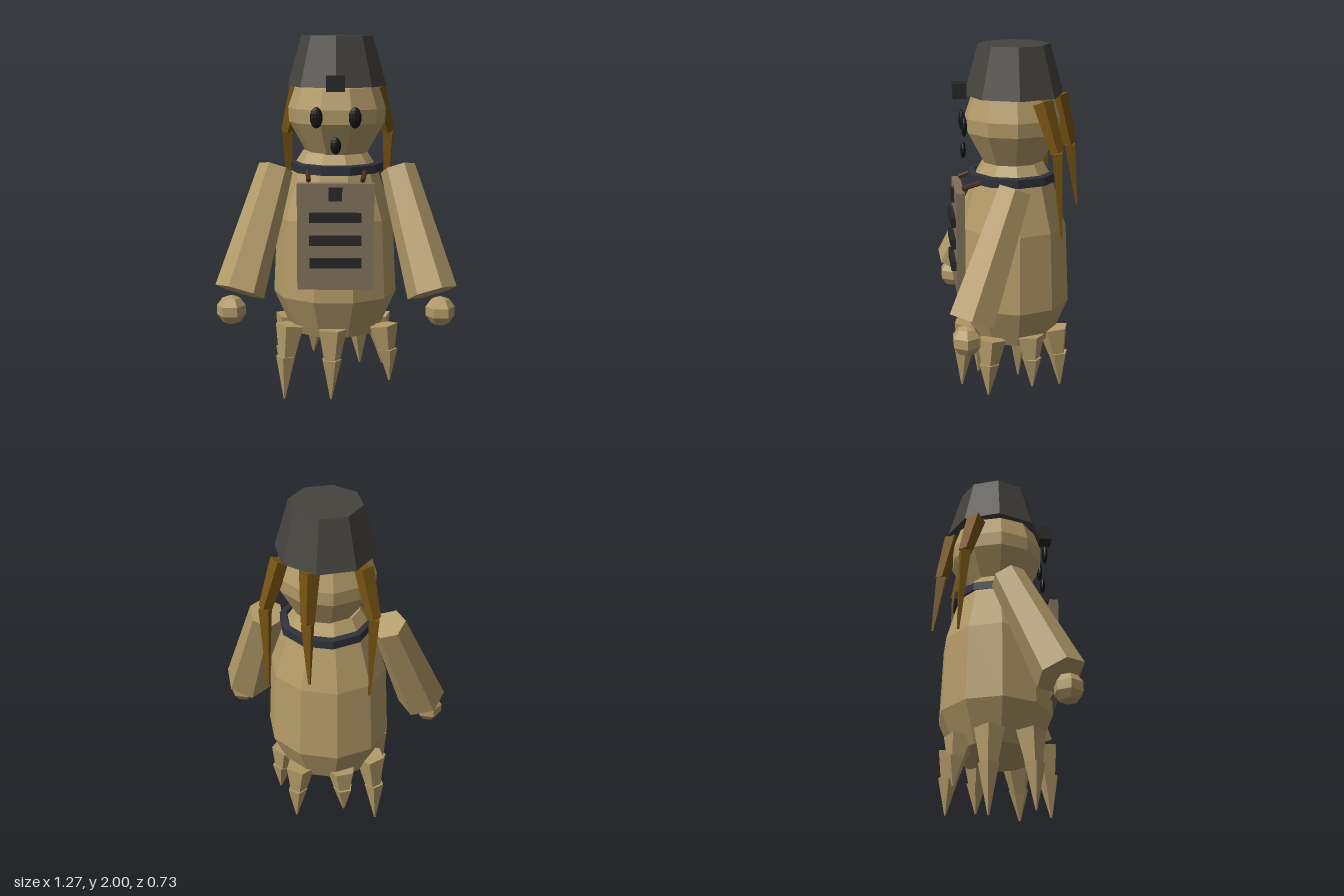
import * as THREE from 'three';

const mat = (color) => new THREE.MeshStandardMaterial({ color, flatShading: true });

export function createModel() {
  const root = new THREE.Group();
  const tan = mat(0xb39b68), hatGrey = mat(0x45433e), black = mat(0x131316), dark = mat(0x262626);
  const hairGold = mat(0x765312), plateTan = mat(0x7f715a), collarBlue = mat(0x30323c), leather = mat(0x4a2e1c);

  const add = (name, geo, m, x = 0, y = 0, z = 0, parent = root) => {
    const mesh = new THREE.Mesh(geo, m);
    mesh.name = name;
    mesh.position.set(x, y, z);
    parent.add(mesh);
    return mesh;
  };
  const box = (name, w, h, d, m, x, y, z) => add(name, new THREE.BoxGeometry(w, h, d), m, x, y, z);

  // Tapered prism running from point a to point b
  const beam = (name, a, b, ra, rb, sides, m, parent = root) => {
    const p = new THREE.Vector3(...a), q = new THREE.Vector3(...b);
    const dir = q.clone().sub(p);
    const mid = p.clone().add(q).multiplyScalar(0.5);
    const mesh = add(name, new THREE.CylinderGeometry(rb, ra, dir.length(), sides), m, mid.x, mid.y, mid.z, parent);
    mesh.quaternion.setFromUnitVectors(new THREE.Vector3(0, 1, 0), dir.normalize());
    return mesh;
  };
  // Ten-sided turned solid with a flat side to the front
  const turned = (profile) => {
    const g = new THREE.LatheGeometry(profile.map(([r, y]) => new THREE.Vector2(r, y)), 10);
    g.rotateY(Math.PI / 10);
    return g;
  };

  // Body, widest near the bottom, closed underneath
  const body = add('body', turned([[0, 0.4], [0.24, 0.4], [0.335, 0.61], [0.315, 1.03], [0.228, 1.3], [0.17, 1.39], [0, 1.39]]), tan, -0.012, 0, -0.015);
  body.scale.z = 0.92;

  // Head
  const head = add('head', turned([[0, 1.37], [0.165, 1.38], [0.258, 1.545], [0.262, 1.62], [0.225, 1.73], [0.12, 1.8], [0, 1.82]]), tan, 0, 0, -0.01);
  head.scale.z = 0.98;

  // Collar band
  const collar = add('collar', turned([[0.225, 1.28], [0.25, 1.28], [0.25, 1.325], [0.215, 1.33], [0.2, 1.29], [0.225, 1.28]]), collarBlue, 0, 0, -0.012);
  collar.scale.z = 0.98;

  // Hat with its front block
  add('hat', new THREE.CylinderGeometry(0.19, 0.265, 0.265, 8), hatGrey, 0, 1.8675, -0.02);
  box('hatBlock', 0.095, 0.08, 0.07, dark, 0, 1.76, 0.27);

  // Eyes and mouth
  const spot = (name, x, y, rx, ry) => {
    add(name, new THREE.SphereGeometry(1, 12, 8), black, x, y, 0.253).scale.set(rx, ry, 0.015);
  };
  spot('leftEye', 0.1, 1.585, 0.033, 0.055);
  spot('rightEye', -0.1, 1.585, 0.033, 0.055);
  spot('mouth', 0, 1.44, 0.028, 0.045);

  // Chest plate with slots and straps
  box('chestPlate', 0.4, 0.56, 0.045, plateTan, 0, 0.97, 0.283);
  box('plateStud', 0.07, 0.07, 0.02, dark, 0, 1.197, 0.312);
  for (const y of [1.075, 0.955, 0.835]) box('plateBar', 0.27, 0.05, 0.03, dark, 0, y, 0.317);

  for (const s of [-1, 1]) {
    const side = s > 0 ? 'left' : 'right';
    beam(side + 'Strap', [s * 0.15, 1.295, 0.17], [s * 0.14, 1.262, 0.27], 0.013, 0.013, 6, leather);
    // Flared sleeve and round hand
    const arm = beam(side + 'Arm', [s * 0.328, 1.295, 0.015], [s * 0.508, 0.665, 0.255], 0.095, 0.134, 6, tan);
    arm.rotateY(-s * 0.16);
    add(side + 'Hand', new THREE.SphereGeometry(0.08, 6, 5), tan, s * 0.55, 0.575, 0.285);
  }

  // Bent, tapering locks of hair
  const locks = [
    [[0.21, 1.72, -0.145], [0.28, 1.47, -0.21], [0.27, 1.01, -0.24]],
    [[-0.21, 1.72, -0.145], [-0.28, 1.47, -0.21], [-0.27, 1.01, -0.24]],
    [[0.04, 1.735, -0.25], [0.04, 1.47, -0.315], [0.025, 1.13, -0.36]],
  ];
  for (const [a, b, c] of locks) {
    const lock = new THREE.Group();
    lock.name = 'hairLock';
    root.add(lock);
    beam('upperLock', a, b, 0.053, 0.036, 4, hairGold, lock);
    beam('lowerLock', b, c, 0.038, 0.008, 4, hairGold, lock);
  }

  // Ring of jointed spikes hanging below the body: x, z, tip height
  const spikes = [
    [-0.025, 0.27, 0.08], [0.285, 0.15, 0.15], [0.25, -0.09, 0.17], [0.125, -0.26, 0.12],
    [-0.14, -0.24, 0.19], [-0.3, -0.08, 0], [-0.28, 0.155, 0.04],
  ];
  for (const [x, z, tip] of spikes) {
    const leg = new THREE.Group();
    leg.name = 'legSpike';
    root.add(leg);
    const joint = 0.235 + tip * 0.4;
    beam('upperSpike', [x * 0.88, 0.455, z * 0.88], [x * 0.96, joint, z * 0.96], 0.082, 0.042, 5, tan, leg);
    beam('lowerSpike', [x * 0.97, joint + 0.03, z * 0.97], [x * 1.01, tip, z * 1.01], 0.056, 0.005, 5, tan, leg);
  }
  return root;
}
